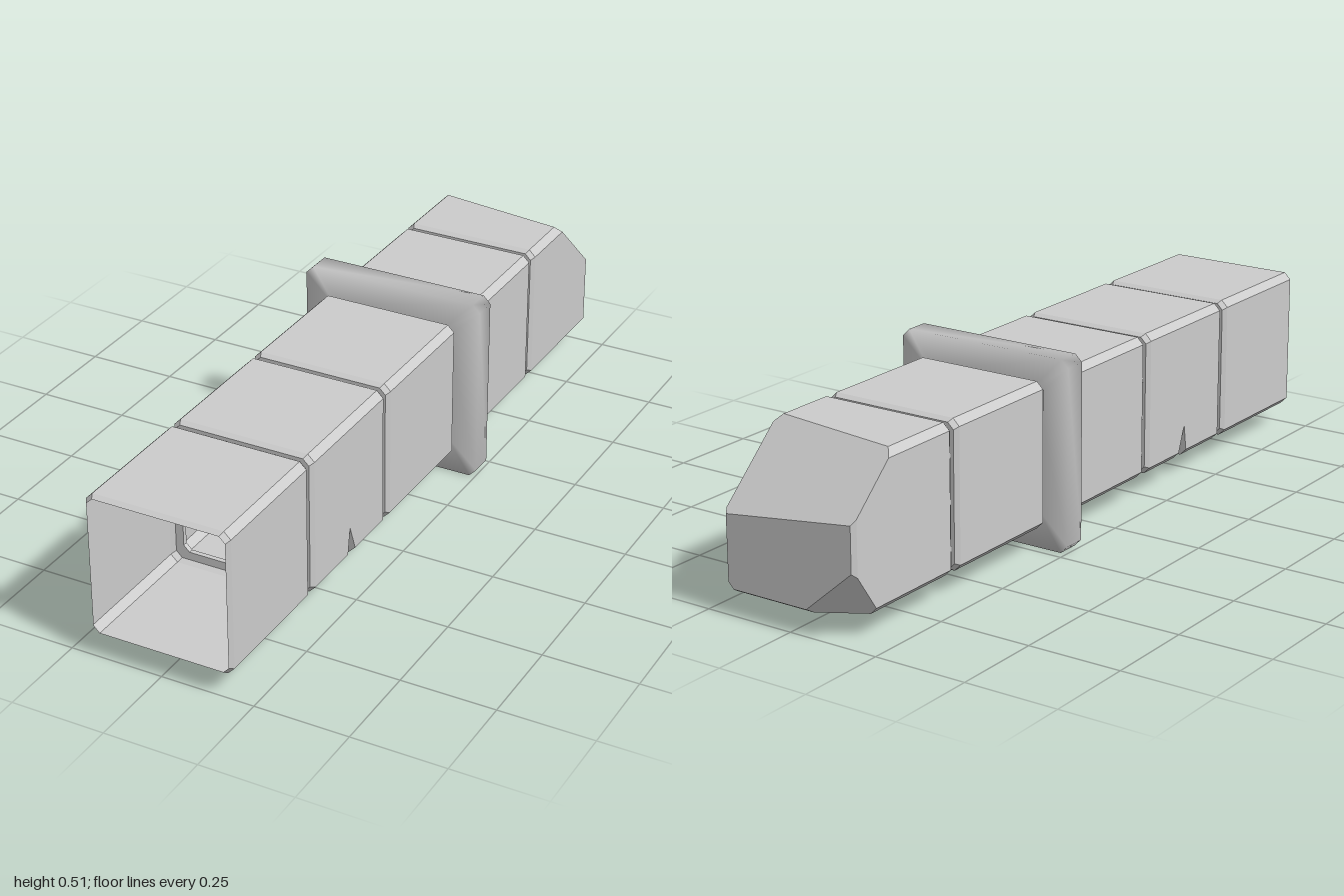
import * as THREE from 'three';
import { ConvexGeometry } from 'three/addons/geometries/ConvexGeometry.js';

const CENTRE_Y = 0.253, OUTER = 0.193, RIM = 0.185, THROAT = 0.163, BEVEL = 0.013;

const flatMaterial = new THREE.MeshStandardMaterial({ color: 0xcccccc, flatShading: true, side: THREE.DoubleSide });
const smoothMaterial = new THREE.MeshStandardMaterial({ color: 0xcccccc, side: THREE.DoubleSide });

// Square with clipped corners; the floor can be lifted to fold a notch
function section(h, c, floor = -h) {
  const low = floor + c * (floor > -h ? 0.1 : 1);
  return [
    [h, low], [h, h - c], [h - c, h], [c - h, h],
    [-h, h - c], [-h, low], [c - h, floor], [h - c, floor],
  ];
}

// Open skin through stations [halfWidth, z, cornerCut, floor], back to front
function loft(name, stations, material = flatMaterial) {
  const positions = [], indices = [];
  for (const [h, z, c, floor] of stations) {
    for (const [x, y] of section(h, c, floor)) positions.push(x, y, z);
  }
  for (let s = 0; s < stations.length - 1; s++) {
    for (let i = 0; i < 8; i++) {
      const a = s * 8 + i, b = s * 8 + (i + 1) % 8;
      indices.push(a, b, b + 8, a, b + 8, a + 8);
    }
  }
  let geometry = new THREE.BufferGeometry();
  geometry.setAttribute('position', new THREE.Float32BufferAttribute(positions, 3));
  geometry.setIndex(indices);
  if (material.flatShading) geometry = geometry.toNonIndexed();
  geometry.computeVertexNormals();
  const mesh = new THREE.Mesh(geometry, material);
  mesh.name = name;
  return mesh;
}

function segment(name, back, front, middle = []) {
  return loft(name, [
    [RIM, back, 0.016], [OUTER, back + BEVEL, 0.018],
    ...middle,
    [OUTER, front - BEVEL, 0.018], [RIM, front, 0.016],
  ]);
}

// Narrow neck between two segments
function joint(name, back, front) {
  return loft(name, [
    [RIM, back, 0.016], [THROAT, back, 0.016], [THROAT, front, 0.016], [RIM, front, 0.016],
  ]);
}

// Solid corner points where the planes [nx, ny, nz, limit] meet
function planeCorners(planes) {
  const found = new Map();
  const m = new THREE.Matrix3();
  for (let i = 0; i < planes.length; i++) {
    for (let j = i + 1; j < planes.length; j++) {
      for (let k = j + 1; k < planes.length; k++) {
        const p = planes[i], q = planes[j], r = planes[k];
        m.set(p[0], p[1], p[2], q[0], q[1], q[2], r[0], r[1], r[2]);
        if (Math.abs(m.determinant()) < 1e-6) continue;
        const v = new THREE.Vector3(p[3], q[3], r[3]).applyMatrix3(m.invert());
        if (planes.every(([x, y, z, d]) => x * v.x + y * v.y + z * v.z <= d + 1e-5 * Math.hypot(x, y, z))) {
          found.set(v.toArray().map((n) => Math.round(n * 2000)).join(), v);
        }
      }
    }
  }
  return [...found.values()];
}

function tail(back, front) {
  const planes = [
    [0, 0, -1, -back], [0, 0, 1, front],
    [0.13, 1, -0.918, 0.944],          // slanted roof cut
    [-6.667, -7.692, -11.111, 12.863], // broken lower corner
  ];
  // Walls and clipped edges, each with a bevel at both ends
  for (const [x, y] of [[1, 0], [-1, 0], [0, 1], [0, -1]]) {
    planes.push([x, y, 0, OUTER],
      [13 * x, 13 * y, -8, 13 * RIM - 8 * back],
      [13 * x, 13 * y, 8, 13 * RIM + 8 * front]);
  }
  for (const [x, y] of [[1, 1], [1, -1], [-1, 1], [-1, -1]]) {
    planes.push([x, y, 0, 0.368],
      [13 * x, 13 * y, -14, 13 * 0.354 - 14 * back],
      [13 * x, 13 * y, 14, 13 * 0.354 + 14 * front]);
  }
  const solid = new ConvexGeometry(planeCorners(planes));
  // Drop the front cap so the hollow runs through
  const p = solid.attributes.position, n = solid.attributes.normal, kept = [];
  for (let i = 0; i < p.count; i += 3) {
    if (n.getZ(i) > 0.95) continue;
    for (let k = i; k < i + 3; k++) kept.push(p.getX(k), p.getY(k), p.getZ(k));
  }
  const geometry = new THREE.BufferGeometry();
  geometry.setAttribute('position', new THREE.Float32BufferAttribute(kept, 3));
  geometry.computeVertexNormals();
  const mesh = new THREE.Mesh(geometry, flatMaterial);
  mesh.name = 'tailSegment';
  return mesh;
}

export function createModel() {
  const model = new THREE.Group();
  model.name = 'segmentedTube';
  const body = new THREE.Group();
  body.name = 'body';
  body.position.y = CENTRE_Y;
  model.add(body);

  body.add(
    segment('mouthSegment', 0.627, 1),
    // Floor folded up into a sharp notch
    segment('notchedSegment', 0.24, 0.614, [
      [OUTER, 0.4, 0.018], [OUTER, 0.426, 0.018, 0.148 - CENTRE_Y], [OUTER, 0.437, 0.018],
    ]),
    segment('middleSegment', -0.15, 0.227),
    segment('rearSegment', -0.606, -0.232),
    tail(-1, -0.619),
  );

  [[0.614, 0.627], [0.227, 0.24], [-0.619, -0.606]].forEach(([back, front], i) => {
    body.add(joint('joint' + (i + 1), back, front));
  });

  // Collar, with the flanges that close it against its neighbours
  body.add(
    loft('collar', [
      [THROAT, -0.226, 0.016], [0.253, -0.224, 0.02], [0.253, -0.162, 0.02], [THROAT, -0.16, 0.016],
    ], smoothMaterial),
    loft('collarBackFlange', [[RIM, -0.232, 0.016], [THROAT, -0.232, 0.016], [THROAT, -0.226, 0.016]]),
    loft('collarFrontFlange', [[THROAT, -0.16, 0.016], [THROAT, -0.15, 0.016], [RIM, -0.15, 0.016]]),
  );
  return model;
}
